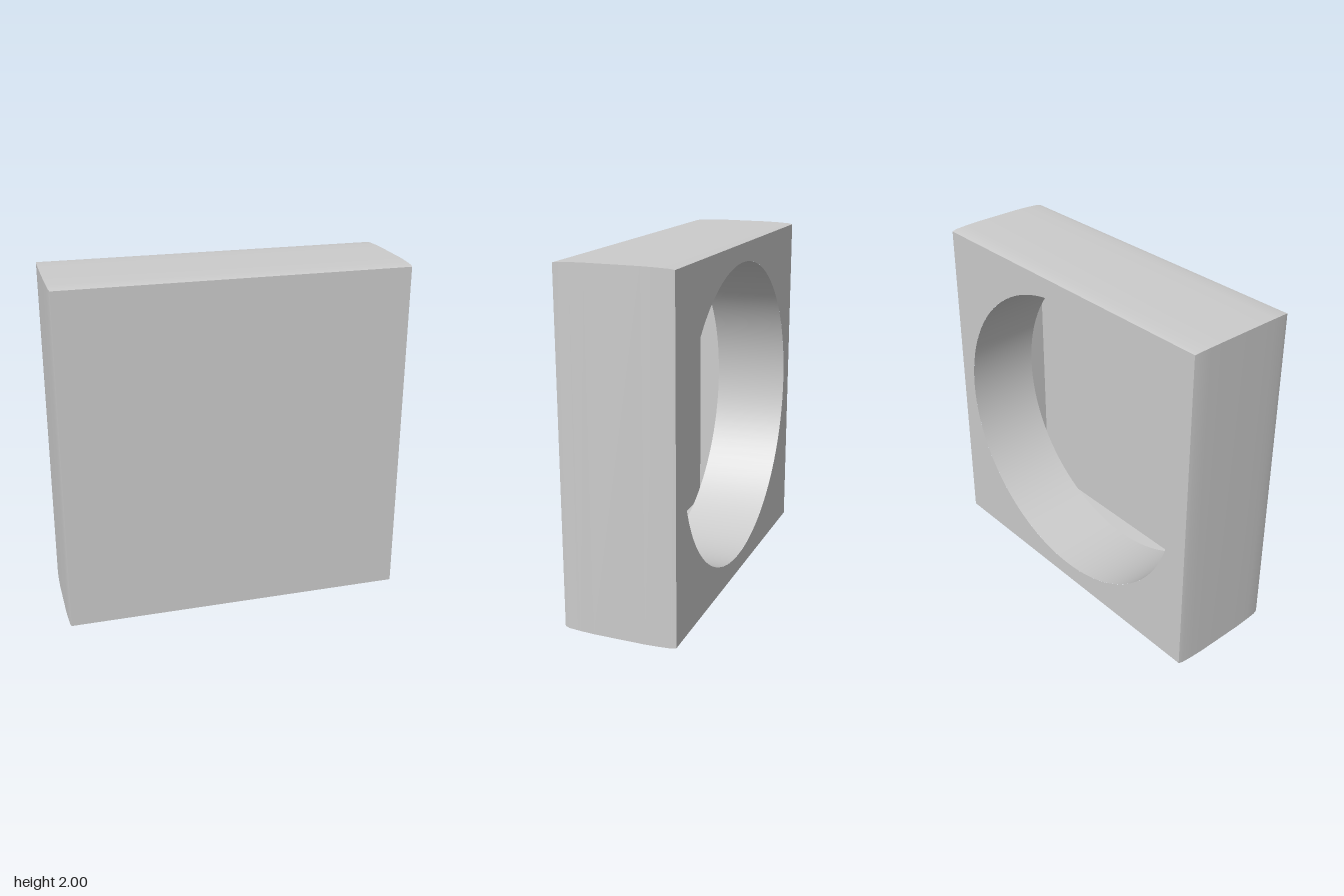
import * as THREE from 'three';
import { toCreasedNormals } from 'three/addons/utils/BufferGeometryUtils.js';

const HALF_DEPTH = 0.325;   // half thickness of the block
const EDGE = 0.99;          // half size at the front and back edges
const HOLE = 0.885;         // radius of the round opening
const LIP_Z = 0.125;        // inner end of the round opening
const CAVITY = 0.96;        // half size of the square cavity
const FLOOR_Z = 0.285;      // inner side of the front panel

// Sweeps a profile of [half size, z] around the z axis with the given number of sides
function sweep(profile, sides) {
  const square = sides === 4;
  const scale = square ? Math.SQRT2 : 1;
  const points = profile.map(([r, z]) => new THREE.Vector2(r * scale, z));
  const geometry = new THREE.LatheGeometry(points, sides, square ? Math.PI / 4 : 0);
  geometry.rotateX(Math.PI / 2);
  return toCreasedNormals(geometry, 0.6);
}

// Square plate with the round opening
function holedPlate(half) {
  const shape = new THREE.Shape([
    new THREE.Vector2(-half, -half), new THREE.Vector2(half, -half),
    new THREE.Vector2(half, half), new THREE.Vector2(-half, half),
  ]);
  const hole = new THREE.Path();
  hole.absarc(0, 0, HOLE, 0, Math.PI * 2, true);
  shape.holes.push(hole);
  return new THREE.ShapeGeometry(shape, 96);
}

export function createModel() {
  const group = new THREE.Group();
  group.name = 'recessedBlock';
  const material = new THREE.MeshStandardMaterial({ color: 0xcccccc });

  const add = (name, geometry) => {
    const mesh = new THREE.Mesh(geometry, material);
    mesh.name = name;
    mesh.position.y = 1;
    group.add(mesh);
  };

  // Slightly bulging side walls and the closed front
  add('outerShell', sweep([
    [EDGE, -HALF_DEPTH], [0.995, -0.3], [0.998, -0.23], [1, -0.15],
    [1, 0.15], [0.998, 0.23], [0.995, 0.3], [EDGE, HALF_DEPTH], [0, HALF_DEPTH],
  ], 4));

  // Back face around the opening
  add('backFace', holedPlate(EDGE).rotateY(Math.PI).translate(0, 0, -HALF_DEPTH));

  // Wall of the round opening
  add('openingWall', sweep([[HOLE, LIP_Z], [HOLE, -HALF_DEPTH]], 96));

  // Square cavity behind the opening, with its floor and the lip closing it
  add('cavity', sweep([[0, FLOOR_Z], [CAVITY, FLOOR_Z], [CAVITY, LIP_Z]], 4));
  add('cavityLip', holedPlate(CAVITY).translate(0, 0, LIP_Z));

  return group;
}
